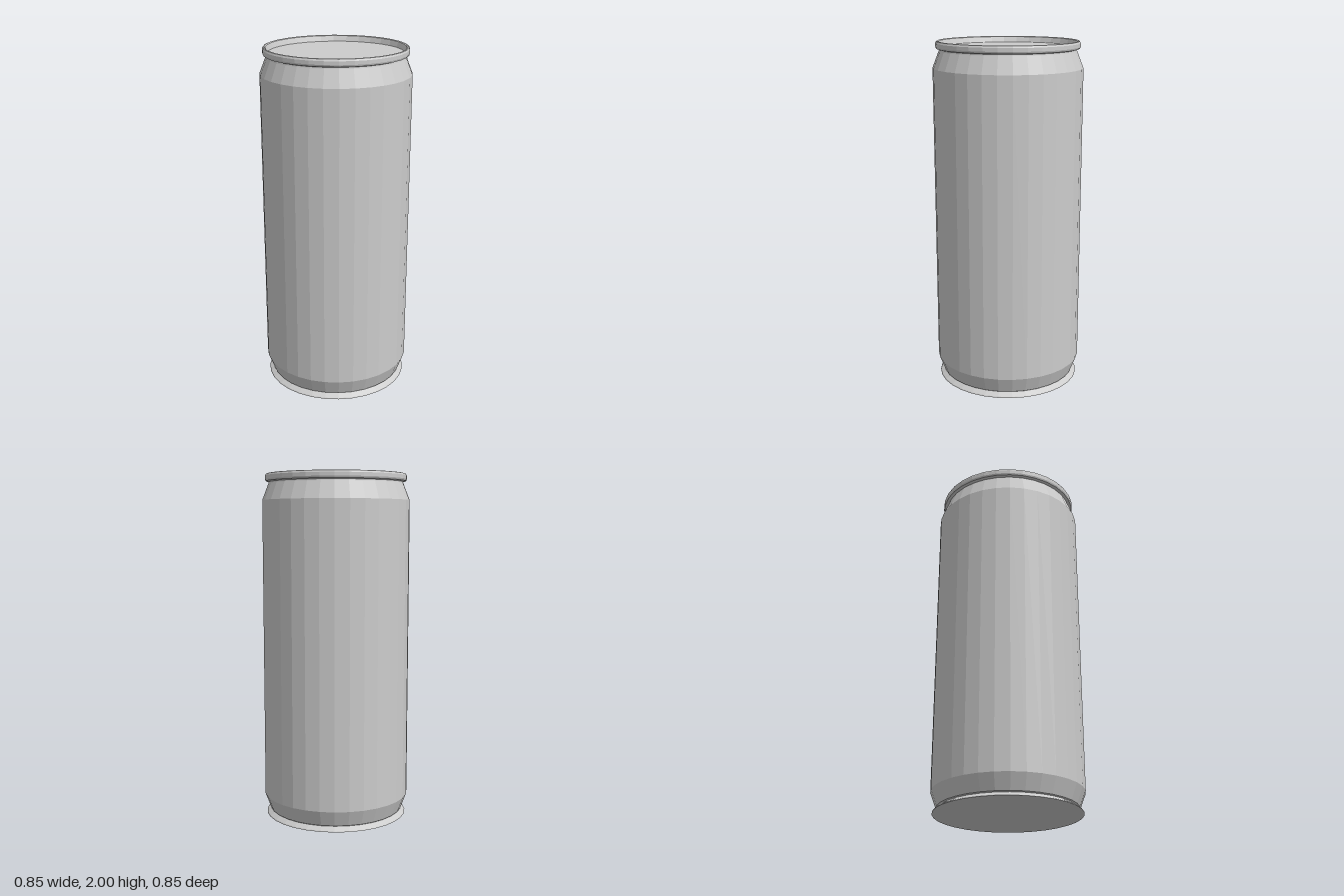
import * as THREE from 'three';

const SIDES = 32;
const LID_Y = 1.965, LID_R = 0.38;

export function createModel() {
  const model = new THREE.Group();
  model.name = 'drinkCan';
  const metal = new THREE.MeshStandardMaterial({ color: 0xcccccc });
  metal.name = 'plain metal';

  const add = (name, geometry) => {
    const mesh = new THREE.Mesh(geometry, metal);
    mesh.name = name;
    model.add(mesh);
    return mesh;
  };

  // Faceted ring swept from [radius, height] pairs, listed from bottom to top on the outside
  const faceted = (profile) => {
    const points = profile.map(([r, y]) => new THREE.Vector2(r, y));
    const geometry = new THREE.LatheGeometry(points, SIDES).toNonIndexed();
    geometry.computeVertexNormals();
    return geometry;
  };

  // Flared foot, then the straight wall with a tapered base and shoulder
  add('foot', faceted([[0.416, 0], [0.413, 0.006], [0.385, 0.025], [0.393, 0.03]]));
  add('body', faceted([[0.393, 0.03], [0.427, 0.12], [0.427, 1.85], [0.39, 1.945]]));

  // Rolled rim, ending in the wall that drops to the lid
  add('rim', faceted([
    [0.39, 1.945], [0.388, 1.953], [0.405, 1.958], [0.409, 1.968], [0.409, 1.988],
    [0.404, 1.998], [0.398, 2], [0.391, 1.996], [0.387, 1.985], [LID_R, LID_Y],
  ]));

  // Flat lid and base
  const lid = add('lid', new THREE.CircleGeometry(LID_R, SIDES).rotateX(-Math.PI / 2));
  lid.position.y = LID_Y;
  add('base', new THREE.CircleGeometry(0.416, SIDES).rotateX(Math.PI / 2));

  // Small crease where the lid bends up against the rim
  const at = (step, r, y) => {
    const a = (step / SIDES) * Math.PI * 2;
    return new THREE.Vector3(Math.cos(a) * r, y, Math.sin(a) * r);
  };
  const corners = [
    at(4, LID_R, LID_Y + 0.001), at(7, LID_R, LID_Y + 0.001),
    at(6, 0.384, 1.982), at(5, 0.384, 1.982),
  ];
  const crease = new THREE.BufferGeometry().setFromPoints(
    [0, 2, 1, 0, 3, 2].map((i) => corners[i]));
  // Turn the faces upward
  const up = new THREE.Triangle(corners[0], corners[2], corners[1]).getNormal(new THREE.Vector3()).y;
  if (up < 0) crease.setIndex([0, 2, 1, 3, 5, 4]);
  crease.computeVertexNormals();
  add('lidCrease', crease);

  return model;
}
